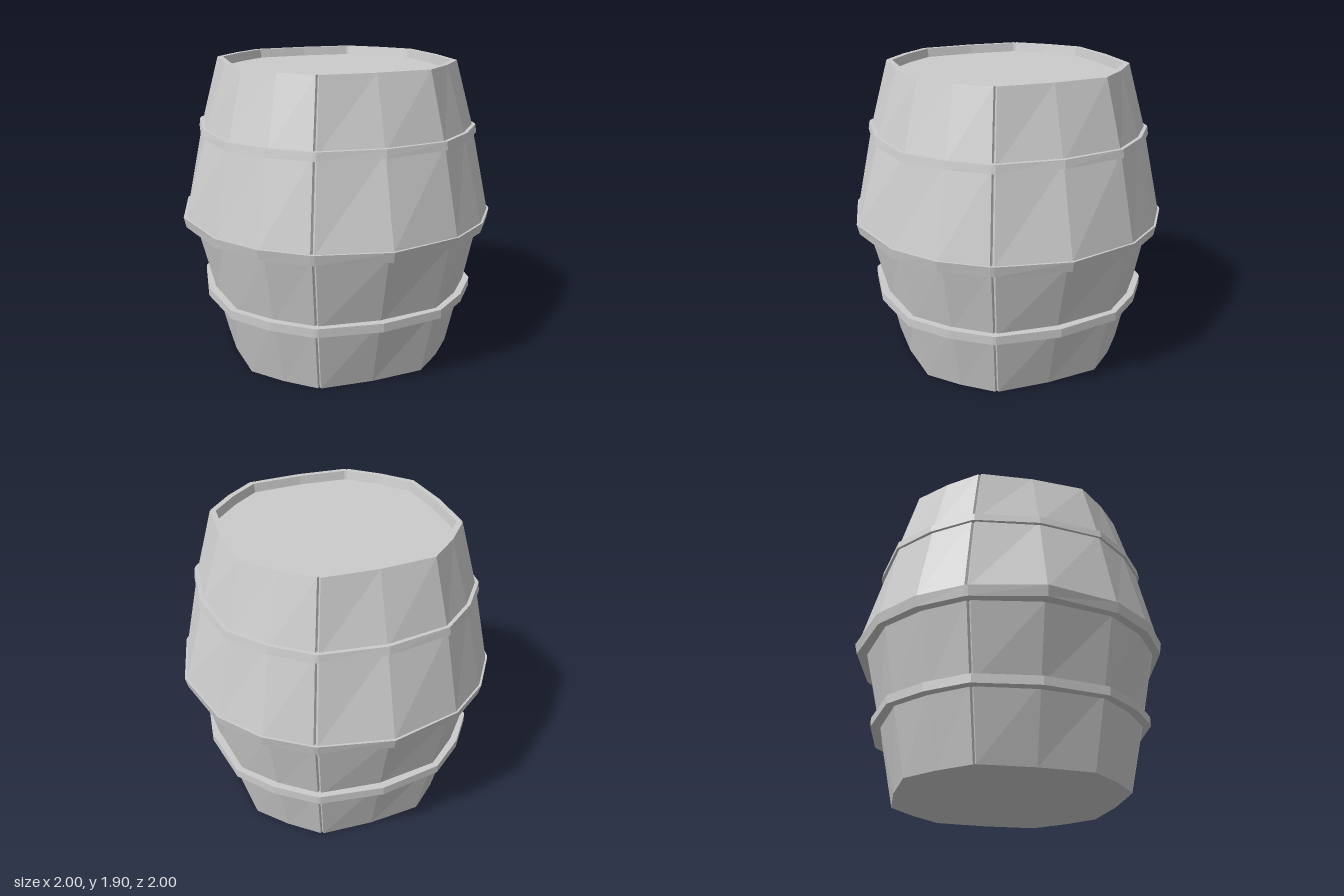
import * as THREE from 'three';

const material = new THREE.MeshStandardMaterial({ color: 0xcccccc, flatShading: true });

// Corner angles of one quadrant, and how far each corner bulges at the narrow ends
const ANGLES = [0, 26.5, 45, 63.5];
const BULGE = [0, 0.08, 0.05, 0.08];

// One 16-cornered ring; the fourth seam of each quadrant can be notched as an open joint
function ring(r, y, notch = 0) {
  const points = [];
  const add = (deg, radius) => {
    const a = THREE.MathUtils.degToRad(deg);
    points.push([radius * Math.sin(a), y, radius * Math.cos(a)]);
  };
  const squareness = Math.min(1, (1 - r) / 0.3);
  for (let q = 0; q < 4; q++) {
    ANGLES.forEach((angle, i) => {
      const radius = r * (1 + BULGE[i] * squareness);
      const deg = q * 90 + angle;
      if (i === 3) {
        add(deg - 0.7, radius);
        add(deg, radius - notch);
        add(deg + 0.7, radius);
      } else add(deg, radius);
    });
  }
  return points;
}

// Faceted skin through a profile of [radius, height, notch]
function loft(name, profile) {
  const rings = profile.map((p) => ring(...p));
  const n = rings[0].length;
  const positions = [];
  for (let i = 0; i < rings.length - 1; i++) {
    for (let j = 0; j < n; j++) {
      const k = (j + 1) % n;
      const a = rings[i][j], b = rings[i][k], c = rings[i + 1][k], d = rings[i + 1][j];
      if (profile[i][0] > 0) positions.push(...a, ...b, ...c);
      if (profile[i + 1][0] > 0) positions.push(...a, ...c, ...d);
      else if (profile[i][0] > 0) continue;
    }
  }
  const geometry = new THREE.BufferGeometry();
  geometry.setAttribute('position', new THREE.Float32BufferAttribute(positions, 3));
  geometry.computeVertexNormals();
  const mesh = new THREE.Mesh(geometry, material);
  mesh.name = name;
  return mesh;
}

export function createModel() {
  const barrel = new THREE.Group();
  barrel.name = 'barrel';

  // Staves, with the rim turned inward at the top
  barrel.add(loft('staves', [
    [0.70, 0, 0.015], [0.81, 0.44, 0.015], [0.92, 0.89, 0.015],
    [0.985, 0.95, 0.015], [0.837, 1.48, 0.015], [0.70, 1.90, 0.015],
    [0.665, 1.90], [0.655, 1.845],
  ]));

  // Recessed lid and flat base
  barrel.add(loft('lid', [[0.66, 1.845], [0, 1.845]]));
  barrel.add(loft('base', [[0, 0], [0.70, 0]]));

  // Hoops: bottom radius, top radius, bottom height, top height
  [
    ['lowerHoop', 0.865, 0.865, 0.41, 0.465],
    ['middleHoop', 0.985, 1.0, 0.89, 0.955],
    ['upperHoop', 0.865, 0.855, 1.455, 1.505],
  ].forEach(([name, r0, r1, y0, y1]) => {
    barrel.add(loft(name, [[r0 - 0.08, y0], [r0, y0], [r1, y1], [r1 - 0.08, y1]]));
  });

  return barrel;
}
